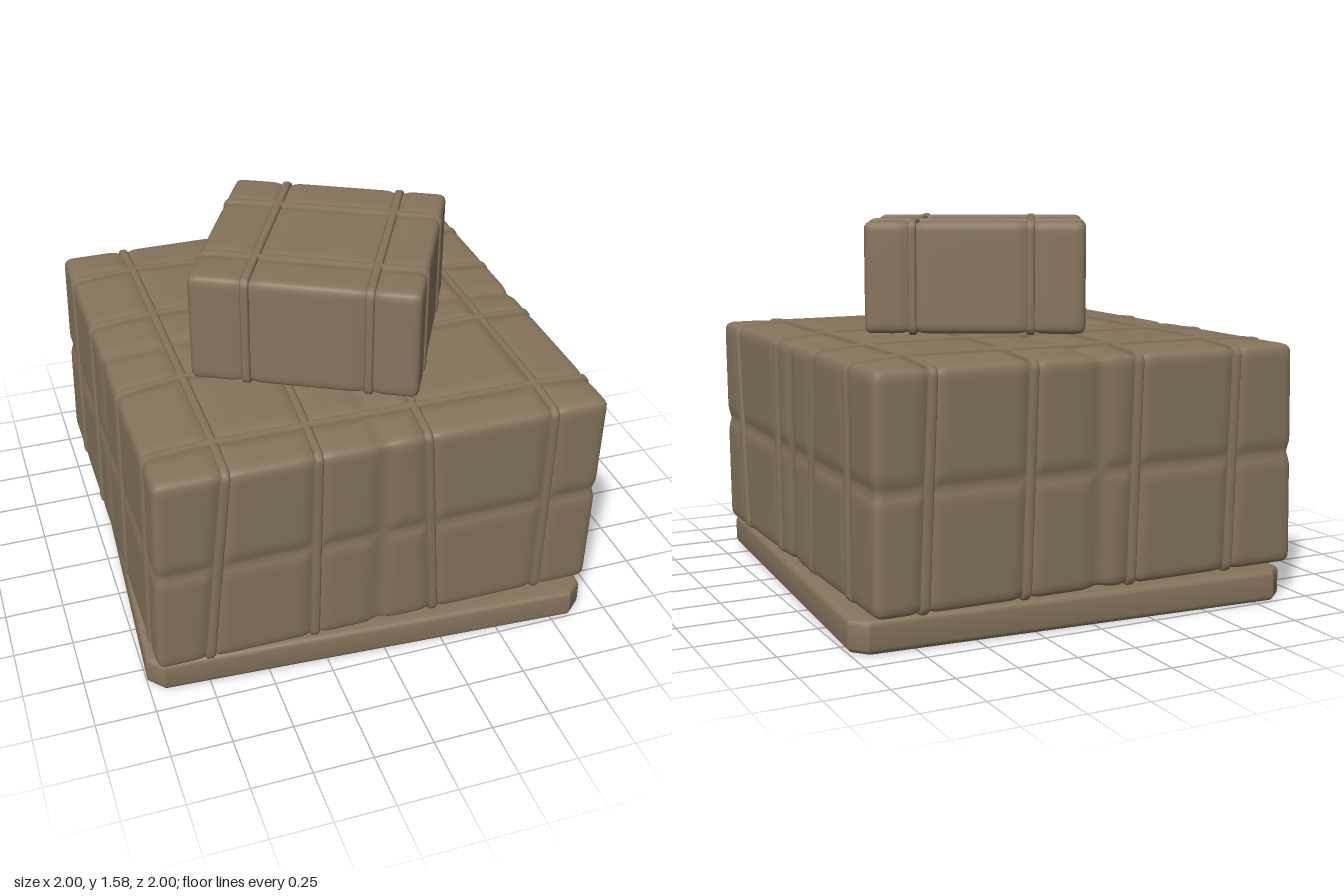
import * as THREE from 'three';
import { mergeVertices, toCreasedNormals } from 'three/addons/utils/BufferGeometryUtils.js';

const lerp = THREE.MathUtils.lerp;
const clamp = THREE.MathUtils.clamp;
const noWarp = (p) => p;

// Rounded block pinched inwards along its straps and seams.
// Each groove has an axis, a pos(p) along that axis, a width and a depth.
function softBlock(half, r, segs, grooves, warp = noWarp) {
  let geo = new THREE.BoxGeometry(half.x * 2, half.y * 2, half.z * 2, ...segs);
  geo.deleteAttribute('normal');
  geo.deleteAttribute('uv');
  geo = mergeVertices(geo, 1e-4);
  const at = geo.attributes.position;
  const p = new THREE.Vector3(), inner = new THREE.Vector3(), n = new THREE.Vector3();
  for (let i = 0; i < at.count; i++) {
    p.fromBufferAttribute(at, i);
    for (const k of ['x', 'y', 'z']) inner[k] = clamp(p[k], r - half[k], half[k] - r);
    n.subVectors(p, inner).normalize();
    p.copy(inner).addScaledVector(n, r);
    let push = 0;
    for (const g of grooves) {
      const d = (p[g.axis] - g.pos(p)) / g.width;
      push = Math.max(push, g.depth * Math.exp(-d * d) * (1 - n[g.axis] ** 2));
    }
    p.addScaledVector(n, -push);
    warp(p);
    at.setXYZ(i, p.x, p.y, p.z);
  }
  geo.computeVertexNormals();
  return geo;
}

// Flat strap swept once around a block, perpendicular to the given axis
function strapLoop(half, r, { axis, pos }, warp = noWarp) {
  const u = axis === 'x' ? 'z' : 'x';
  const sign = axis === 'x' ? -1 : 1;
  const section = [[-0.018, -0.02], [-0.018, 0], [-0.01, 0.006], [0.01, 0.006], [0.018, 0], [0.018, -0.02]];
  const path = [];
  const corner = (k, a) => {
    const c = Math.cos(a), s = Math.sin(a);
    const su = k === 0 || k === 3 ? 1 : -1, sv = k < 2 ? 1 : -1;
    return [su * (half[u] - r) + c * r, sv * (half.y - r) + s * r, c, s];
  };
  for (let k = 0; k < 4; k++) {
    for (let i = 0; i <= 4; i++) path.push(corner(k, (k + i / 4) * Math.PI / 2));
    const from = path[path.length - 1], to = corner((k + 1) % 4, (k + 1) * Math.PI / 2);
    for (let i = 1; i < 16; i++) path.push(from.map((v, j) => lerp(v, to[j], i / 16)));
  }
  const verts = [], index = [], m = section.length, p = new THREE.Vector3();
  path.forEach(([a, b, nu, nv], i) => {
    for (const [s, n] of section) {
      p[u] = a;
      p.y = b;
      p[axis] = 0;
      const centre = pos(p);
      p[axis] = centre + sign * s;
      p[u] += nu * n;
      p.y += nv * n;
      warp(p);
      verts.push(p.x, p.y, p.z);
    }
    const next = ((i + 1) % path.length) * m;
    for (let j = 0; j < m - 1; j++) {
      const q = i * m + j, w = next + j;
      index.push(q, w, w + 1, q, w + 1, q + 1);
    }
  });
  const geo = new THREE.BufferGeometry();
  geo.setAttribute('position', new THREE.Float32BufferAttribute(verts, 3));
  geo.setIndex(index);
  geo.computeVertexNormals();
  return geo;
}

export function createModel() {
  const model = new THREE.Group();
  model.name = 'wrappedCargo';
  const brown = new THREE.MeshStandardMaterial({ color: 0x85745c });
  brown.name = 'cargo brown';

  const add = (parent, name, geo) => {
    const mesh = new THREE.Mesh(geo, brown);
    mesh.name = name;
    parent.add(mesh);
    return mesh;
  };

  // Pallet: a slab with clipped corners, turned slightly
  const h = 0.951, bevel = 0.025, e = h - bevel, c = e - 0.05;
  const outline = new THREE.Shape(
    [[e, -c], [e, c], [c, e], [-c, e], [-e, c], [-e, -c], [-c, -e], [c, -e]].map(([x, y]) => new THREE.Vector2(x, y)));
  const slab = new THREE.ExtrudeGeometry(outline, {
    depth: 0.133 - bevel * 2, bevelThickness: bevel, bevelSize: bevel, bevelSegments: 4,
  });
  slab.rotateX(-Math.PI / 2).translate(0, bevel, 0);
  add(model, 'pallet', toCreasedNormals(slab, 0.6)).rotation.y = -0.057;

  // Large load: stacked bales held by eight straps
  const load = new THREE.Group();
  load.name = 'largeLoad';
  load.position.set(-0.0125, 0.616, 0);
  model.add(load);
  const half = new THREE.Vector3(0.9425, 0.476, 0.9425);
  const warpLoad = (p) => {
    const t = p.y / half.y;
    const edge = (v) => Math.max(0, Math.abs(v) - 0.66) / 0.28;
    if (t > 0) p.y -= t * 0.02 * Math.max(edge(p.x), edge(p.z));
    if (p.x < 0) p.x -= (p.x / half.x) * 0.012 * t;
    if (p.z > 0) p.z += (p.z / half.z) * 0.014 * t;
    return p;
  };
  // near/far: strap position at the +/- ends of the other axis; tilts: shift at the foot
  const slanted = (axis, near, far, nearTilt, farTilt, shift = 0) => {
    const other = axis === 'x' ? 'z' : 'x';
    return {
      axis, width: 0.03, depth: 0.016,
      pos: (p) => {
        const k = clamp((p[other] / half[other] + 1) / 2, 0, 1);
        const down = clamp((half.y - p.y) / (2 * half.y), 0, 1);
        return lerp(far, near, k) + shift + down * lerp(farTilt, nearTilt, k);
      },
    };
  };
  const loadStraps = [
    [-0.67, -0.67, -0.07, 0.04], [-0.3, -0.2, 0, 0.03], [0.15, 0.27, 0.07, 0.03], [0.69, 0.69, 0, 0.04],
  ].map((s) => slanted('x', ...s, 0.0125)).concat([
    [0.74, 0.74, -0.08, 0.02], [0.18, 0.28, 0, 0.02], [-0.28, -0.27, 0.07, 0.02], [-0.65, -0.71, 0, 0.05],
  ].map((s) => slanted('z', ...s)));
  const seams = [['x', -0.01, 0.04], ['y', 0.004, 0.03], ['z', 0, 0.04]].map(
    ([axis, at, width]) => ({ axis, width, depth: 0.013, pos: () => at }));
  add(load, 'bales', softBlock(half, 0.035, [100, 40, 100], [...loadStraps, ...seams], warpLoad));
  for (const s of loadStraps) add(load, 'loadStrap', strapLoop(half, 0.035, s, warpLoad));

  // Small bale on top, turned, with two straps each way
  const bale = new THREE.Group();
  bale.name = 'topBale';
  bale.position.set(-0.01, 1.338, 0.125);
  bale.rotation.y = -0.488;
  model.add(bale);
  const small = new THREE.Vector3(0.464, 0.235, 0.464);
  const baleStraps = [['x', -0.233], ['x', 0.262], ['z', -0.233], ['z', 0.244]].map(
    ([axis, at]) => ({ axis, width: 0.03, depth: 0.014, pos: () => at }));
  add(bale, 'topBaleBody', softBlock(small, 0.03, [46, 24, 46], baleStraps));
  for (const s of baleStraps) add(bale, 'topBaleStrap', strapLoop(small, 0.03, s));

  return model;
}
